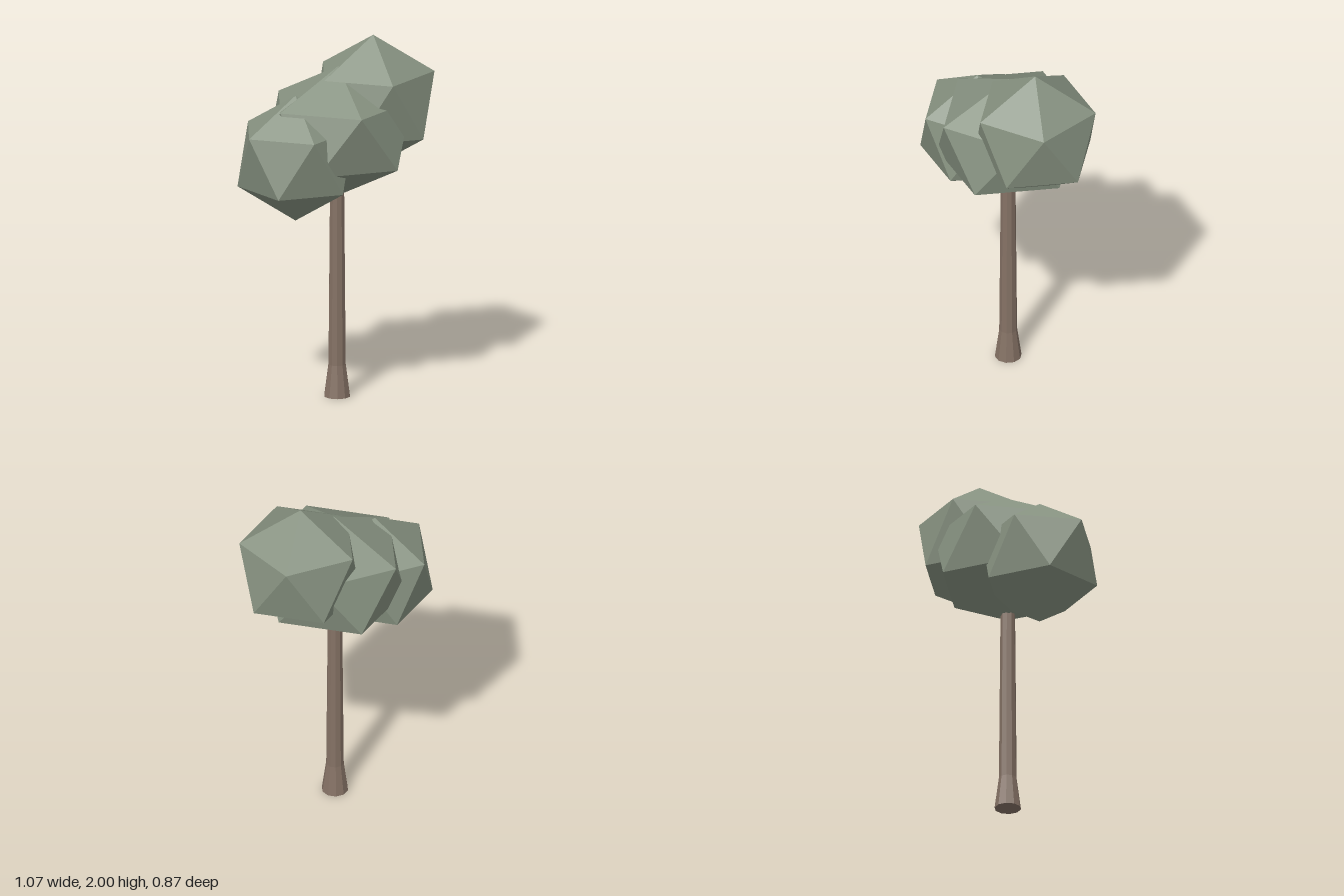
import * as THREE from 'three';

const bark = new THREE.MeshStandardMaterial({ color: 0x857265 });
bark.name = 'bark';
const leaves = new THREE.MeshStandardMaterial({ color: 0x869180 });
leaves.name = 'leaves';

// Gives every face its own flat normal
function faceted(geometry) {
  const flat = geometry.index ? geometry.toNonIndexed() : geometry;
  flat.computeVertexNormals();
  return flat;
}

// Icosahedron standing on a corner, with one upper-ring corner towards +x
function leafClump(name, x, y, z, radius, height) {
  const geometry = new THREE.IcosahedronGeometry(1, 0);
  geometry.rotateZ(-Math.atan(2 / (1 + Math.sqrt(5))));
  geometry.scale(radius, height, radius);
  const mesh = new THREE.Mesh(faceted(geometry), leaves);
  mesh.name = name;
  mesh.position.set(x, y, z);
  return mesh;
}

export function createModel() {
  const tree = new THREE.Group();
  tree.name = 'tree';

  // Ten-sided trunk with a flared foot
  const profile = [[0, 0], [0.073, 0], [0.049, 0.18], [0.04, 1.2], [0, 1.2]]
    .map(([r, y]) => new THREE.Vector2(r, y));
  const trunk = new THREE.Mesh(faceted(new THREE.LatheGeometry(profile, 10)), bark);
  trunk.name = 'trunk';
  trunk.position.x = 0.003;
  tree.add(trunk);

  // Three overlapping clumps climbing from right front to left back
  tree.add(
    leafClump('lowerClump', -0.225, 1.378, 0.135, 0.352, 0.352),
    leafClump('middleClump', 0.009, 1.493, -0.003, 0.441, 0.364),
    leafClump('upperClump', 0.201, 1.629, -0.12, 0.372, 0.371),
  );
  return tree;
}
